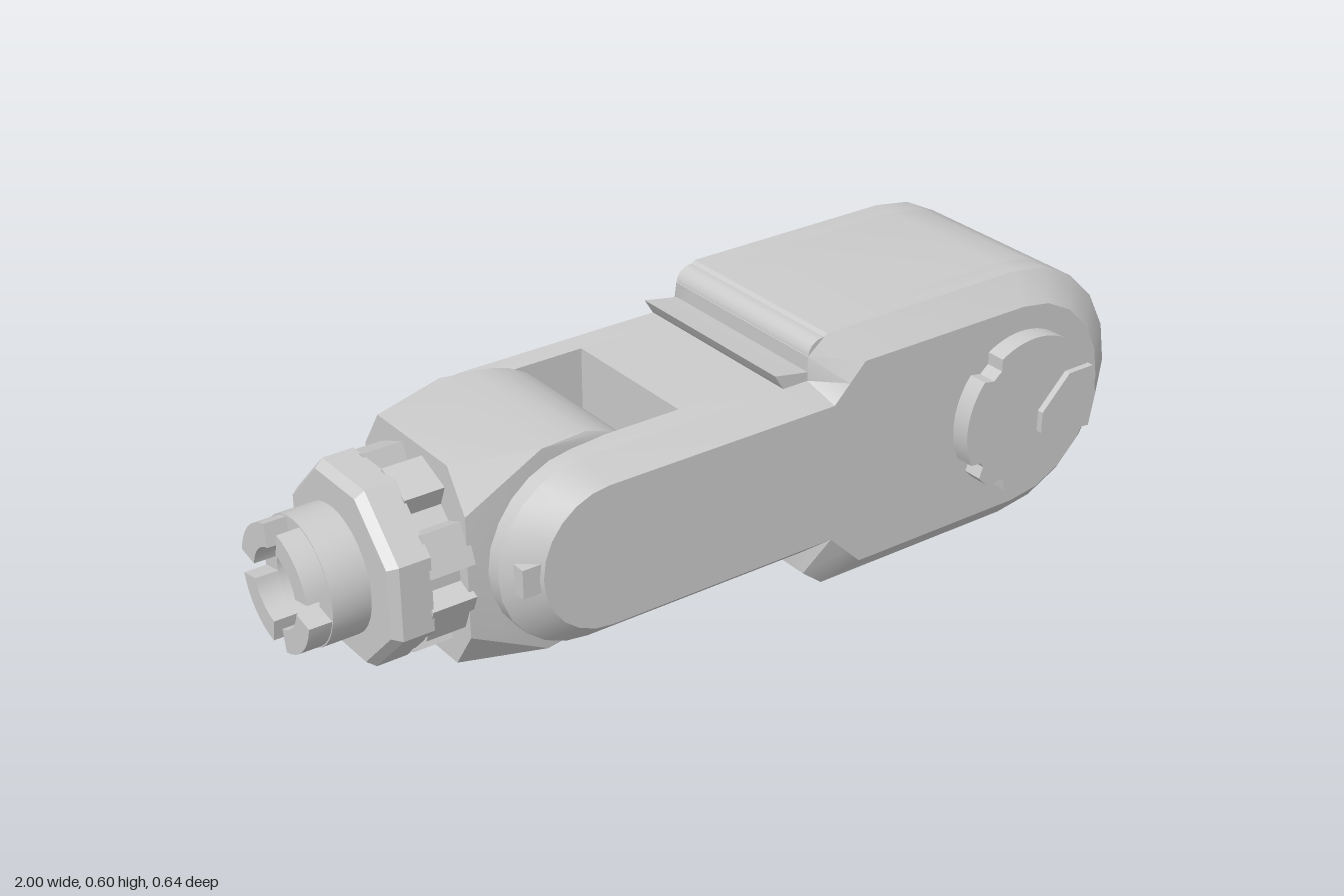
import * as THREE from 'three';
import { toCreasedNormals } from 'three/addons/utils/BufferGeometryUtils.js';
import { ConvexGeometry } from 'three/addons/geometries/ConvexGeometry.js';

const CY = 0.3, CZ = -0.025; // centre line of the arm
const mat = new THREE.MeshStandardMaterial({ color: 0xcccccc });

const V2 = (x, y) => new THREE.Vector2(x, y);

function arc(cx, r, from, to, n) {
  return Array.from({ length: n + 1 }, (_, i) => {
    const a = from + (to - from) * i / n;
    return V2(cx + r * Math.cos(a), r * Math.sin(a));
  });
}

// Link side profile around y = 0; the bevelled version has the same point count
function outline(bevelled) {
  const step = bevelled
    ? [V2(0.24, 0.24), V2(0.2, 0.2), V2(0.16, 0.16)]
    : [V2(0.18, 0.3), V2(0.13, 0.26), V2(0.13, 0.205)];
  const right = bevelled ? arc(0.685, 0.24, -Math.PI / 2, Math.PI / 2, 10) : arc(0.7, 0.3, -Math.PI / 2, Math.PI / 2, 10);
  const left = bevelled ? arc(-0.405, 0.16, Math.PI / 2, Math.PI * 1.5, 12) : arc(-0.43, 0.205, Math.PI / 2, Math.PI * 1.5, 12);
  const lower = step.map(p => V2(p.x, -p.y)).reverse();
  return [...right, ...step, ...left, ...lower];
}

function extrude(points, depth, steps = 1) {
  return new THREE.ExtrudeGeometry(new THREE.Shape(points), { depth, steps, bevelEnabled: false });
}

export function createModel() {
  const model = new THREE.Group();
  const add = (name, geo, x = 0, y = 0, z = 0, parent = model) => {
    const m = new THREE.Mesh(geo, mat);
    m.name = name;
    m.position.set(x, y, z);
    parent.add(m);
    return m;
  };
  const crease = (geo, a = 0.5) => toCreasedNormals(geo, a);

  // Side plates: the outermost layer is pulled in to make the bevel
  const outer = outline(false), inner = outline(true);
  let plate = extrude(outer, 0.11, 2);
  const pos = plate.attributes.position;
  for (let i = 0; i < pos.count; i++) {
    if (pos.getZ(i) < 0.1) continue;
    const k = outer.findIndex(p => Math.hypot(p.x - pos.getX(i), p.y - pos.getY(i)) < 1e-4);
    pos.setXY(i, inner[k].x, inner[k].y);
  }
  plate = crease(plate);
  add('frontPlate', plate, 0, CY, CZ + 0.175);
  add('backPlate', plate, 0, CY, CZ - 0.175).rotation.x = Math.PI;

  // Solid middle between the plates, stopping short of the wrist
  const core = [...arc(0.7, 0.3, -Math.PI / 2, Math.PI / 2, 10),
    V2(0.18, 0.3), V2(0.13, 0.26), V2(0.13, 0.205), V2(-0.16, 0.205),
    V2(-0.16, -0.205), V2(0.13, -0.205), V2(0.13, -0.26), V2(0.18, -0.3)];
  add('linkCore', crease(extrude(core, 0.35)), 0, CY, CZ - 0.175);

  // Lip at the foot of the upper step
  const lip = [V2(0.13, 0.5), V2(0.13, 0.525), V2(0.1, 0.53), V2(0.045, 0.54), V2(0.06, 0.515), V2(0.07, 0.5)];
  add('stepLip', extrude(lip.reverse(), 0.46), 0, 0, CZ - 0.23);
  const roll = new THREE.CylinderGeometry(0.038, 0.038, 0.46, 16);
  roll.rotateX(Math.PI / 2);
  add('stepRoll', roll, 0.168, 0.556, CZ);

  // Wrist: round pivot end blending into an octagonal mouth
  const pts = [];
  for (const s of [-1, 1]) {
    for (const p of arc(-0.43, 0.23, -Math.PI / 2, Math.PI / 2, 16)) pts.push(new THREE.Vector3(p.x, p.y, s * 0.173));
    for (const t of [-1, 1]) {
      pts.push(new THREE.Vector3(-0.5, t * 0.23, s * 0.19));
      for (const [x, k] of [[-0.61, 1], [-0.68, 0.98]]) {
        pts.push(new THREE.Vector3(x, t * 0.23 * k, s * 0.135 * k), new THREE.Vector3(x, t * 0.14 * k, s * 0.195 * k));
      }
    }
  }
  add('wrist', crease(new ConvexGeometry(pts), 0.3), 0, CY, CZ);

  // Tool end, all turned around the x axis
  const octagon = (r0, r1, x0, x1) => {
    const g = new THREE.CylinderGeometry(r0, r1, x1 - x0, 8, 1, false, Math.PI / 8);
    g.rotateZ(Math.PI / 2);
    g.translate((x0 + x1) / 2, 0, 0);
    return crease(g, 0.1);
  };
  const tool = new THREE.Group();
  tool.name = 'toolEnd';
  tool.position.set(0, CY, CZ);
  model.add(tool);
  add('nutChamfer', octagon(0.2, 0.216, -0.855, -0.835), 0, 0, 0, tool);
  add('nut', octagon(0.216, 0.216, -0.835, -0.765), 0, 0, 0, tool);
  add('nutCore', octagon(0.175, 0.175, -0.77, -0.66), 0, 0, 0, tool);
  for (let i = 0; i < 8; i++) {
    const post = add('nutPost', new THREE.BoxGeometry(0.1, 0.05, 0.09), -0.72, 0, 0, tool);
    const a = Math.PI / 8 + i * Math.PI / 4;
    post.position.y = 0.18 * Math.cos(a);
    post.position.z = 0.18 * Math.sin(a);
    post.rotation.x = a;
  }
  const profile = [[0.115, 0.84], [0.115, 0.865], [0.138, 0.865], [0.138, 0.95], [0.085, 0.95], [0.085, 0.89], [0, 0.89]];
  const collar = new THREE.LatheGeometry(profile.map(p => V2(...p)), 32);
  collar.rotateZ(Math.PI / 2);
  add('collar', crease(collar), 0, 0, 0, tool);
  for (let i = 0; i < 4; i++) {
    const a = i * Math.PI / 2 + 0.2, b = (i + 1) * Math.PI / 2 - 0.2;
    const tooth = extrude([...arc(0, 0.135, a, b, 8), ...arc(0, 0.085, b, a, 8)], 0.052);
    tooth.rotateY(-Math.PI / 2);
    add('collarTooth', crease(tooth), -0.948, 0, 0, tool);
  }

  // Notched pivot cap: a disc with small bites in its rim
  const cap = (r, depth, bites) => {
    const rim = [];
    for (let i = 0; i < 72; i++) {
      const a = i / 72 * Math.PI * 2;
      const bite = bites.some(b => Math.abs(Math.atan2(Math.sin(a - b), Math.cos(a - b))) < 0.11);
      const k = bite ? r * 0.87 : r;
      rim.push(V2(k * Math.cos(a), k * Math.sin(a)));
    }
    return crease(extrude(rim, depth));
  };
  add('frontCap', cap(0.183, 0.05, [2.25, 3.7, 4.25]), 0.68, CY, 0.255);
  const tab = [V2(0.705, 0.25), V2(0.78, 0.235), V2(0.85, 0.225), V2(0.865, 0.3), V2(0.85, 0.375), V2(0.78, 0.375), V2(0.705, 0.3)];
  add('frontCapTab', extrude(tab, 0.06), 0, 0, 0.26);
  add('backCap', cap(0.137, 0.02, [Math.PI, 2.5]), -0.42, CY, -0.303).rotation.x = Math.PI;

  // Small keys on the rounded end of each plate
  for (const s of [-1, 1]) {
    add('endKey', new THREE.BoxGeometry(0.05, 0.065, 0.05), -0.585, 0.303, CZ + s * 0.255);
  }
  return model;
}
